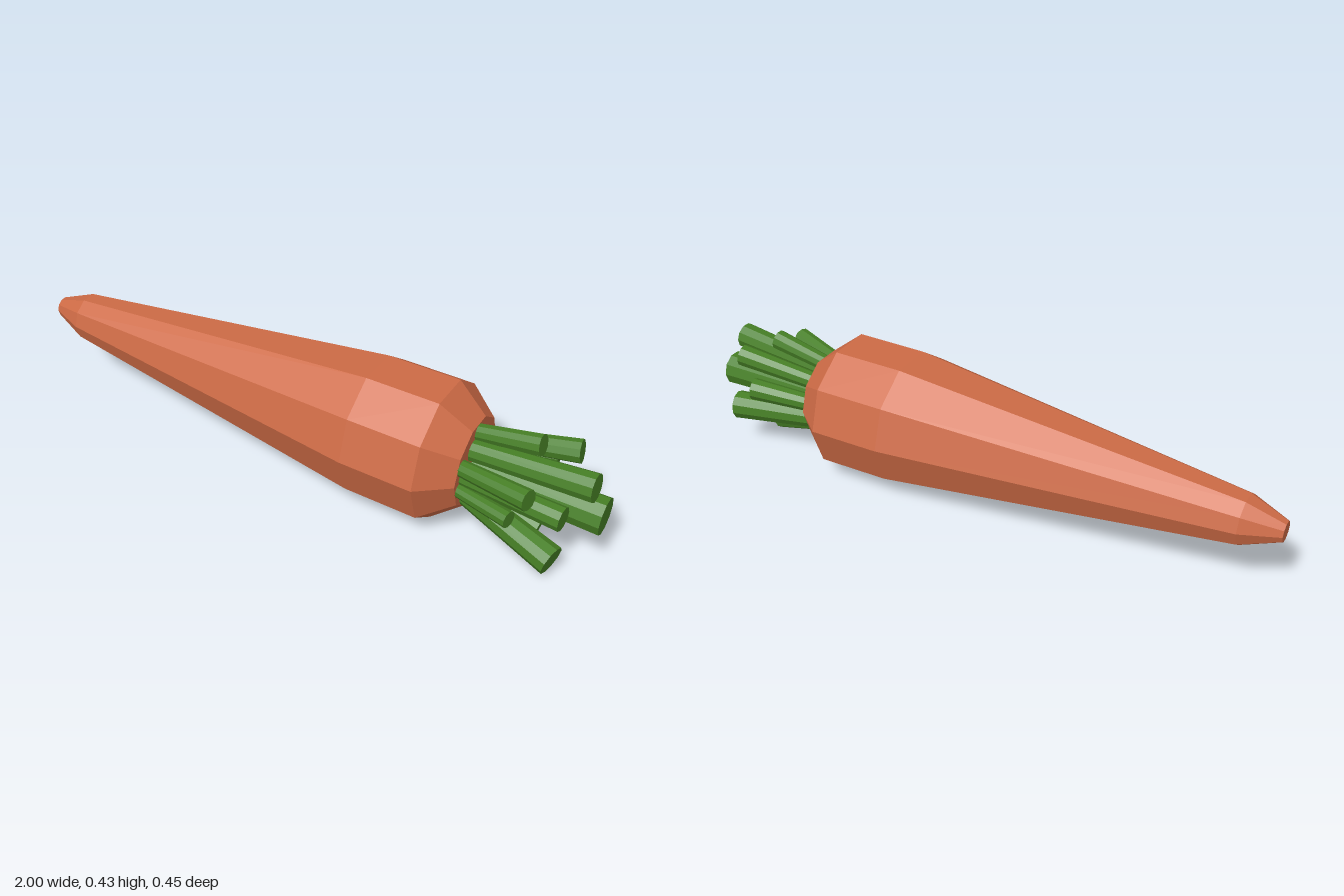
import * as THREE from 'three';

const orange = new THREE.MeshStandardMaterial({ color: 0xcc6a45, flatShading: true });
const green = new THREE.MeshStandardMaterial({ color: 0x467f25, flatShading: true });

// Ten-sided root: radius against length, laid along x with a slight tilt
function makeRoot() {
  const profile = [
    [0, -1], [0.033, -1], [0.081, -0.88], [0.225, 0.25],
    [0.227, 0.49], [0.146, 0.59], [0, 0.59],
  ].map(([r, x]) => new THREE.Vector2(r, x));
  const geometry = new THREE.LatheGeometry(profile, 10);
  geometry.rotateZ(-Math.PI / 2);
  const pos = geometry.attributes.position;
  for (let i = 0; i < pos.count; i++) {
    pos.setY(i, pos.getY(i) + 0.2275 - 0.0175 * pos.getX(i));
  }
  geometry.computeVertexNormals();
  const mesh = new THREE.Mesh(geometry, orange);
  mesh.name = 'root';
  return mesh;
}

// Cut stem widening from its base on the crown to its end
function makeStem(baseY, baseZ, endX, endY, endZ, radius) {
  const base = new THREE.Vector3(0.575, baseY, baseZ);
  const end = new THREE.Vector3(endX, endY, endZ);
  const axis = end.clone().sub(base);
  const mesh = new THREE.Mesh(
    new THREE.CylinderGeometry(radius, radius * 0.78, axis.length(), 10), green);
  mesh.position.copy(base).add(end).multiplyScalar(0.5);
  mesh.quaternion.setFromUnitVectors(new THREE.Vector3(0, 1, 0), axis.normalize());
  return mesh;
}

export function createModel() {
  const model = new THREE.Group();
  model.name = 'carrot';
  model.add(makeRoot());

  const stems = new THREE.Group();
  stems.name = 'stems';
  // base y, base z, end x, end y, end z, end radius
  [
    [0.198, 0.004, 1.0, 0.192, 0.005, 0.059],
    [0.325, 0.0, 0.79, 0.363, 0.004, 0.034],
    [0.28, 0.03, 0.97, 0.312, 0.043, 0.044],
    [0.277, -0.047, 0.88, 0.32, -0.082, 0.037],
    [0.221, -0.09, 0.8, 0.238, -0.135, 0.037],
    [0.155, -0.065, 0.89, 0.141, -0.121, 0.048],
    [0.1, 0.0, 0.81, 0.05, 0.0, 0.04],
    [0.145, 0.055, 0.9, 0.07, 0.128, 0.048],
    [0.187, 0.11, 0.77, 0.192, 0.161, 0.027],
    [0.262, 0.1, 0.82, 0.288, 0.163, 0.033],
    [0.222, 0.085, 0.91, 0.221, 0.112, 0.038],
  ].forEach((spec, i) => {
    const stem = makeStem(...spec);
    stem.name = `stem${i + 1}`;
    stems.add(stem);
  });
  model.add(stems);
  return model;
}
